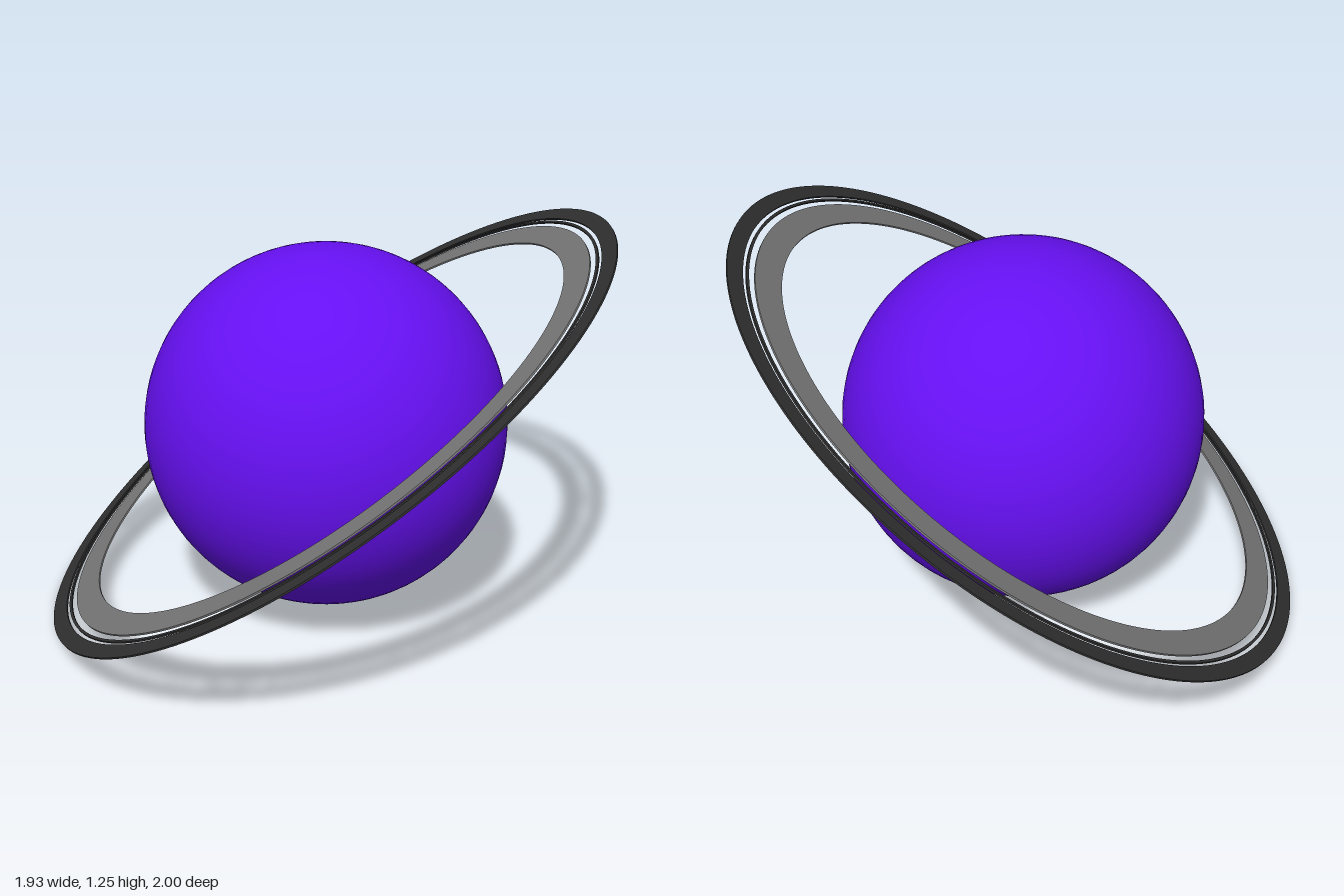
import * as THREE from 'three';

// Thin flat annulus lying in the XZ plane, centred on its thickness
function makeBand(name, inner, outer, color, thickness = 0.006) {
  const shape = new THREE.Shape().absarc(0, 0, outer, 0, Math.PI * 2, false);
  shape.holes.push(new THREE.Path().absarc(0, 0, inner, 0, Math.PI * 2, true));
  const geometry = new THREE.ExtrudeGeometry(shape, {
    depth: thickness, bevelEnabled: false, curveSegments: 128,
  });
  geometry.translate(0, 0, -thickness / 2);
  geometry.rotateX(-Math.PI / 2);
  const mesh = new THREE.Mesh(geometry, new THREE.MeshStandardMaterial({ color }));
  mesh.name = name;
  return mesh;
}

export function createModel() {
  const model = new THREE.Group();
  model.name = 'ringedPlanet';

  // Planet globe
  const globe = new THREE.Mesh(
    new THREE.SphereGeometry(0.575, 64, 48),
    new THREE.MeshStandardMaterial({ color: 0x6610f2 })
  );
  globe.name = 'globe';
  globe.position.set(0.01, 0.61, 0);
  model.add(globe);

  // Three concentric bands with open gaps, tilted together
  const rings = new THREE.Group();
  rings.name = 'rings';
  rings.add(
    makeBand('innerBand', 0.893, 0.983, 0x777777),
    makeBand('middleBand', 1.003, 1.012, 0x303030),
    makeBand('outerBand', 1.023, 1.076, 0x303030)
  );
  const tilt = new THREE.Vector3(-0.443, 0.816, 0.37).normalize();
  rings.quaternion.setFromUnitVectors(new THREE.Vector3(0, 1, 0), tilt);
  rings.position.set(0, 0.625, 0);
  model.add(rings);

  return model;
}
